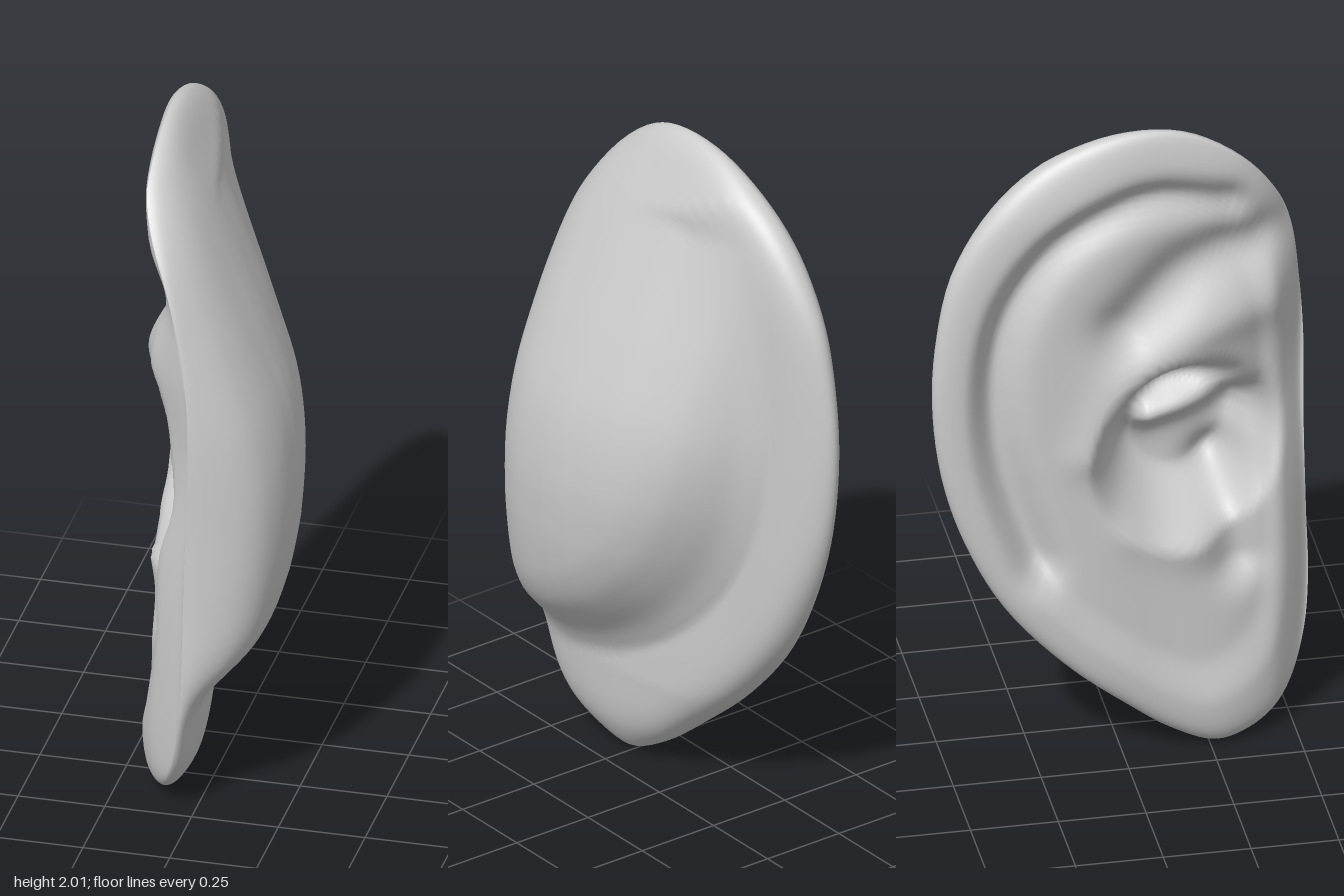
import * as THREE from 'three';
import { mergeVertices } from 'three/addons/utils/BufferGeometryUtils.js';

const { smoothstep: smooth, lerp } = THREE.MathUtils;

// Piecewise smooth curve through [position, value] pairs
function profile(points) {
  return (t) => {
    const n = points.length;
    if (t <= points[0][0]) return points[0][1];
    if (t >= points[n - 1][0]) return points[n - 1][1];
    const i = points.findIndex((p) => p[0] > t) - 1;
    const slope = (k) => {
      const a = points[Math.max(k - 1, 0)], b = points[Math.min(k + 1, n - 1)];
      return (b[1] - a[1]) / (b[0] - a[0]);
    };
    const [x0, y0] = points[i], [x1, y1] = points[i + 1];
    const h = x1 - x0, u = (t - x0) / h, u2 = u * u, u3 = u2 * u;
    return (2 * u3 - 3 * u2 + 1) * y0 + (u3 - 2 * u2 + u) * h * slope(i)
      + (3 * u2 - 2 * u3) * y1 + (u3 - u2) * h * slope(i + 1);
  };
}

// Soft stroke along a smoothed (z, y) path: 1 on the path, fading to 0 away from it
function stroke(path, width) {
  const line = new THREE.SplineCurve(path.map(([z, y]) => new THREE.Vector2(z, y))).getPoints(20);
  return (z, y) => {
    let best = Infinity;
    for (let i = 0; i < line.length - 1; i++) {
      const a = line[i], dz = line[i + 1].x - a.x, dy = line[i + 1].y - a.y;
      const t = THREE.MathUtils.clamp(((z - a.x) * dz + (y - a.y) * dy) / (dz * dz + dy * dy), 0, 1);
      best = Math.min(best, Math.hypot(z - a.x - t * dz, y - a.y - t * dy));
    }
    return Math.exp(-((best / width) ** 2));
  };
}

// Side outline as (z, y), from the top over the back edge to the lobe and up the front
const outline = [
  [0.17, 1.99], [-0.02, 2], [-0.22, 1.93], [-0.37, 1.81], [-0.49, 1.62], [-0.54, 1.4],
  [-0.55, 1.19], [-0.52, 0.95], [-0.45, 0.73], [-0.34, 0.52], [-0.17, 0.32], [0, 0.17],
  [0.14, 0.06], [0.27, 0], [0.37, 0.02], [0.45, 0.07], [0.5, 0.14], [0.54, 0.27],
  [0.555, 0.43], [0.55, 0.65], [0.545, 0.9], [0.545, 1.2], [0.53, 1.4], [0.5, 1.6],
  [0.45, 1.74], [0.34, 1.89],
];

// Back side: a flat flange, and a bulge whose wall curves from the front edge up behind the ear
const flange = profile([[-0.55, -0.16], [-0.4, -0.11], [-0.2, -0.08], [0, -0.04], [0.3, 0], [0.55, 0]]);
const lobeThin = profile([[0, -0.06], [0.12, -0.02], [0.3, 0]]);
const peak = profile([[0.8, 0.26], [1, 0.25], [1.2, 0.215], [1.4, 0.145], [1.6, 0.06], [1.8, -0.03], [1.9, -0.075], [2, -0.11]]);
const taper = profile([[-0.3, 0.06], [-0.1, 0.04], [0, 0.015], [0.15, 0]]);
const wall = profile([[0.25, 1], [0.5, 0.95], [0.72, 0.83], [0.83, 0.66], [0.9, 0.44], [0.97, 0.18], [1.05, 0]]);
const frontRoll = profile([[0.22, 0], [0.35, 0.015], [0.44, 0.045], [0.5, 0.085], [0.55, 0.14]]);

function backX(z, y) {
  const d = Math.hypot((0.5 - z) / 0.83, (y - 1.25) / (y < 1.25 ? 0.9 : 1.8));
  const low = Math.min(flange(z) + lobeThin(y), peak(y));
  const high = Math.max(low, peak(y) - taper(z));
  return lerp(low, high, wall(d)) - frontRoll(z) * wall(d);
}

// Line of the rim: level round the back, swinging inwards along the front
const rimBack = profile([[0, -0.12], [0.25, -0.17], [0.6, -0.19], [1.2, -0.2], [1.7, -0.185], [2, -0.165]]);
const rimFront = profile([[0, -0.1], [0.2, -0.045], [0.4, -0.02], [0.8, -0.01], [1.15, 0],
  [1.4, -0.015], [1.6, -0.06], [1.75, -0.11], [1.9, -0.165]]);
const rimX = (z, y) => lerp(rimBack(y), rimFront(y), smooth(z, 0.2, 0.52));

// Level of the outer face
const faceDepth = profile([[-0.55, -0.24], [-0.1, -0.24], [0.1, -0.22], [0.3, -0.195], [0.43, -0.145],
  [0.5, -0.08], [0.55, -0.02]]);
const faceX = (z, y) => faceDepth(z) + 0.02 * smooth(y, 1.75, 2)
  + 0.05 * smooth(z, 0.15, 0.45) * Math.exp(-(((y - 1.1) / 0.28) ** 2));

// Folds of the inner face
const scapha = stroke([[-0.25, 0.66], [-0.36, 1.05], [-0.35, 1.4], [-0.2, 1.66], [0.05, 1.79], [0.3, 1.75]], 0.06);
const fossa = stroke([[0.38, 1.6], [0.18, 1.53], [0.02, 1.38]], 0.1);
const helixCrus = stroke([[0.5, 1.22], [0.28, 1.08], [0.1, 1.03]], 0.07);
const lowerCrus = stroke([[0.4, 1.38], [0.2, 1.33], [0, 1.2], [-0.1, 1.0]], 0.07);
const tragus = stroke([[0.46, 0.78], [0.42, 0.9]], 0.08);
const antitragus = stroke([[0.05, 0.74], [0.18, 0.67]], 0.08);
const notch = stroke([[0.3, 0.8], [0.33, 0.58]], 0.07);

function frontX(z, y, s) {
  const concha = 1 - smooth(Math.hypot((z - 0.19) / 0.28, (y - 0.95) / 0.29), 0.5, 1.08);
  let x = faceX(z, y) + 0.03 * (1 - smooth(s, 0.7, 0.86));
  x += 0.23 * concha + 0.06 * scapha(z, y) + 0.07 * fossa(z, y) + 0.06 * notch(z, y);
  x -= 0.12 * helixCrus(z, y) * concha + 0.02 * lowerCrus(z, y);
  x -= 0.08 * tragus(z, y) * concha + 0.02 * antitragus(z, y);
  return Math.min(x, backX(z, y) - 0.03);
}

// One closed skin: rings run from the middle of the back, over the rim, to the middle of the face
function earGeometry() {
  const around = 128, rows = 56, cz = 0.05, cy = 1;
  const curve = new THREE.CatmullRomCurve3(outline.map(([z, y]) => new THREE.Vector3(0, y, z)), true);
  const edge = Array.from({ length: around }, (_, j) => curve.getPoint(j / around));
  const positions = [], index = [];
  for (let i = 0; i <= 2 * rows; i++) {
    const s = Math.sin((i / (2 * rows)) * Math.PI);
    const roll = Math.sqrt(Math.max(0, 1 - s ** 18));
    for (let j = 0; j < around; j++) {
      const z = cz + (edge[j].z - cz) * s, y = cy + (edge[j].y - cy) * s;
      const side = i <= rows ? backX(z, y) : frontX(z, y, s);
      positions.push(lerp(rimX(edge[j].z, edge[j].y), side, roll), y, z);
      if (i === 2 * rows) continue;
      const k = (j + 1) % around;
      const a = i * around + j, b = a + around, c = i * around + k, d = c + around;
      if (i > 0) index.push(a, c, b);
      if (i < 2 * rows - 1) index.push(c, d, b);
    }
  }
  let geometry = new THREE.BufferGeometry();
  geometry.setAttribute('position', new THREE.Float32BufferAttribute(positions, 3));
  geometry.setIndex(index);
  geometry = mergeVertices(geometry, 1e-5);
  geometry.computeVertexNormals();
  return geometry;
}

export function createModel() {
  const group = new THREE.Group();
  group.name = 'ear';
  const skin = new THREE.Mesh(earGeometry(), new THREE.MeshStandardMaterial({ color: 0xcccccc }));
  skin.name = 'outerEar';
  group.add(skin);
  return group;
}
